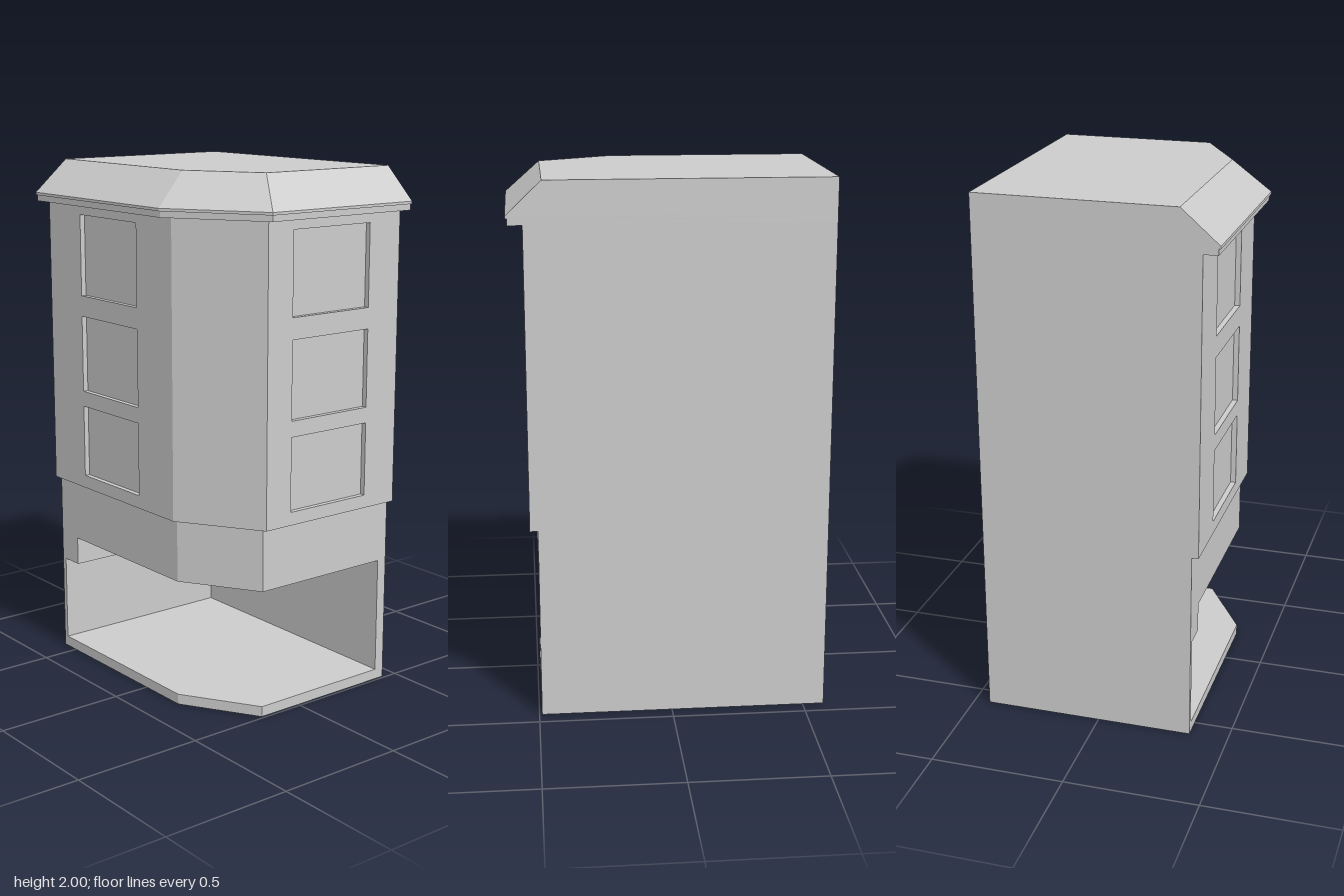
import * as THREE from 'three';

const RIGHT = 0.44, BACK = -0.58;
const material = new THREE.MeshStandardMaterial({ color: 0xcccccc, flatShading: true });

// Floor plan with one cut corner: [x, z] points
const plan = (side, front, cutX, cutZ) => [
  [RIGHT, BACK], [side, BACK], [side, cutZ], [cutX, front], [RIGHT, front],
];

// Closed solid through horizontal rings: [[y, plan], ...] from bottom to top
function loft(rings) {
  const pos = [];
  const n = rings[0][1].length;
  const at = (r, i) => { const [y, p] = rings[r]; return [p[i % n][0], y, p[i % n][1]]; };
  const tri = (a, b, c) => pos.push(...a, ...b, ...c);
  for (let r = 0; r < rings.length - 1; r++) {
    for (let i = 0; i < n; i++) {
      tri(at(r, i), at(r, i + 1), at(r + 1, i + 1));
      tri(at(r, i), at(r + 1, i + 1), at(r + 1, i));
    }
  }
  const top = rings.length - 1;
  for (let i = 1; i < n - 1; i++) {
    tri(at(top, 0), at(top, i), at(top, i + 1));
    tri(at(0, 0), at(0, i + 1), at(0, i));
  }
  const g = new THREE.BufferGeometry();
  g.setAttribute('position', new THREE.Float32BufferAttribute(pos, 3));
  g.computeVertexNormals();
  return g;
}

const prism = (p, y0, y1) => loft([[y0, p], [y1, p]]);

function box(x0, x1, y0, y1, z0, z1) {
  return new THREE.BoxGeometry(x1 - x0, y1 - y0, z1 - z0)
    .translate((x0 + x1) / 2, (y0 + y1) / 2, (z0 + z1) / 2);
}

function rect(Type, x0, x1, y0, y1) {
  return new Type([[x0, y0], [x1, y0], [x1, y1], [x0, y1]].map(([x, y]) => new THREE.Vector2(x, y)));
}

export function createModel() {
  const group = new THREE.Group();
  const add = (name, geometry) => {
    const mesh = new THREE.Mesh(geometry, material);
    mesh.name = name;
    group.add(mesh);
    return mesh;
  };

  // Open ground floor
  const base = plan(-0.355, 0.49, -0.18, 0.205);
  add('floorSlab', prism(base, 0, 0.04));
  add('partyWall', box(0.4, RIGHT, 0.04, 0.49, BACK, 0.49));
  add('backWall', box(-0.355, 0.4, 0.04, 0.49, BACK, -0.56));
  add('backBeam', box(-0.355, 0.4, 0.38, 0.49, -0.56, -0.47));
  add('lintel', prism(base, 0.49, 0.73));

  // Upper storeys: a core faced with panels that leave the windows recessed
  const Y0 = 0.73, Y1 = 1.845, DEPTH = 0.02;
  add('upperCore', prism(plan(-0.36, 0.5, -0.185, 0.22), Y0, Y1));
  add('cornerPanel', prism([[-0.36, 0.215], [-0.38, 0.215], [-0.19, 0.52], [-0.19, 0.5]], Y0, Y1));

  const facade = (u0, u1, w0, w1) => {
    const shape = rect(THREE.Shape, u0, u1, Y0, Y1);
    for (const [b, t] of [[0.78, 1.06], [1.12, 1.415], [1.495, 1.805]]) {
      shape.holes.push(rect(THREE.Path, w0, w1, b, t));
    }
    return new THREE.ExtrudeGeometry(shape, { depth: DEPTH, bevelEnabled: false });
  };
  add('frontFacade', facade(-0.19, RIGHT, -0.075, 0.29)).position.z = 0.5;
  const side = add('sideFacade', facade(BACK, 0.215, -0.365, 0));
  side.rotation.y = -Math.PI / 2;
  side.position.x = -0.36;

  // Hipped roof with a small eave lip
  const fascia = plan(-0.433, 0.573, -0.217, 0.222);
  const eave = plan(-0.44, 0.58, -0.222, 0.224);
  add('roof', loft([
    [1.845, fascia], [1.868, fascia], [1.868, eave], [1.878, eave],
    [2, plan(-0.3, 0.452, -0.145, 0.176)],
  ]));

  return group;
}
